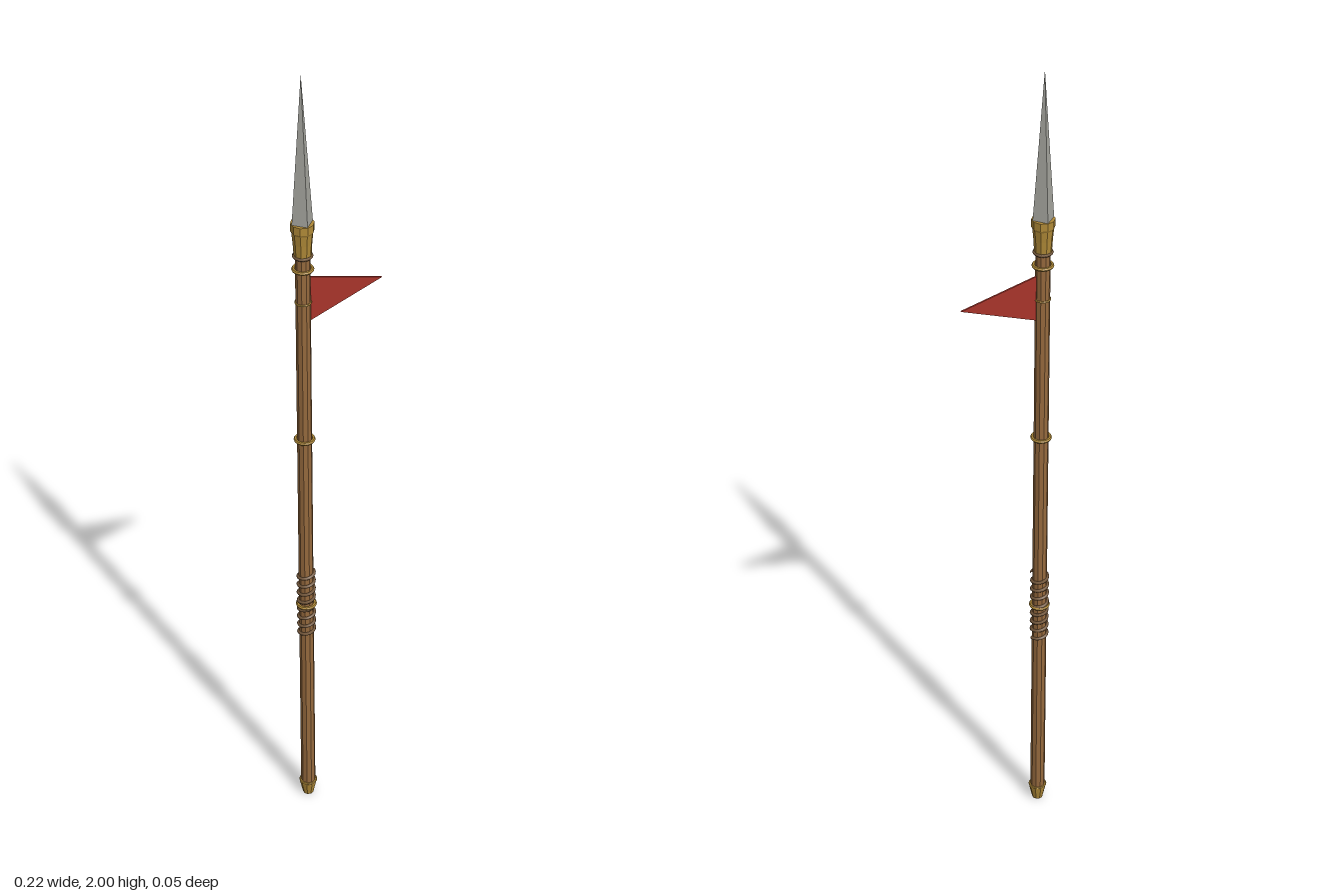
import * as THREE from 'three';

export function createModel() {
  const spear = new THREE.Group();
  spear.name = 'spear';
  const mat = (name, color, flatShading = false) => {
    const m = new THREE.MeshStandardMaterial({ color, flatShading });
    m.name = name;
    return m;
  };
  const wood = mat('wood', 0x966a3e, true);
  const brass = mat('brass', 0xb08a38, true);
  const steel = mat('steel', 0xa5a59e, true);
  const leather = mat('leather', 0x74583c);
  const cloth = mat('red cloth', 0xa8342a);

  // Everything except the pennant sits on the pole axis
  const pole = new THREE.Group();
  pole.name = 'pole';
  pole.position.x = -0.082;
  spear.add(pole);

  const add = (name, geometry, material, y = 0, parent = pole) => {
    const mesh = new THREE.Mesh(geometry, material);
    mesh.name = name;
    mesh.position.y = y;
    parent.add(mesh);
    return mesh;
  };
  const turned = (name, points, sides, material) =>
    add(name, new THREE.LatheGeometry(points.map(p => new THREE.Vector2(...p)), sides), material);
  const ring = (name, y, radius, tube, material) =>
    add(name, new THREE.TorusGeometry(radius, tube, 6, 16).rotateX(Math.PI / 2), material, y);

  // Shaft
  add('shaft', new THREE.CylinderGeometry(0.0165, 0.018, 1.57, 10), wood, 0.815);

  // Butt cap, narrowing to the ground
  turned('buttCap', [[0, 0], [0.0135, 0], [0.021, 0.036], [0.021, 0.044], [0, 0.044]], 10, brass);
  ring('buttRing', 0.042, 0.0195, 0.003, brass);

  // Socket below the blade
  turned('socket', [[0, 1.575], [0.019, 1.575], [0.021, 1.61], [0.0235, 1.635],
    [0.026, 1.64], [0.026, 1.658], [0, 1.658]], 10, brass);

  // Four-sided blade with its edges on the axes
  add('blade', new THREE.ConeGeometry(0.025, 0.345, 4), steel, 1.8275);

  // Bands along the shaft
  ring('neckBinding', 1.578, 0.0195, 0.0035, leather);
  ring('neckBand', 1.545, 0.0205, 0.0042, brass);
  ring('pennantBand', 1.462, 0.0165, 0.0025, brass);
  ring('middleBand', 1.1, 0.0205, 0.0042, brass);
  ring('gripBand', 0.62, 0.0205, 0.0045, brass);

  // Cord wound round the grip
  const turns = 8, points = [];
  for (let i = 0; i <= turns * 12; i++) {
    const a = (i / 12) * Math.PI * 2;
    points.push(new THREE.Vector3(Math.cos(a) * 0.019, 0.523 + (i / (turns * 12)) * 0.194, -Math.sin(a) * 0.019));
  }
  add('gripCord', new THREE.TubeGeometry(new THREE.CatmullRomCurve3(points), turns * 16, 0.004, 6), leather);

  // Thin triangular pennant
  const outline = new THREE.Shape([[-0.07, 1.41], [0.108, 1.472], [-0.07, 1.522]].map(p => new THREE.Vector2(...p)));
  const flag = new THREE.ExtrudeGeometry(outline, { depth: 0.004, bevelEnabled: false });
  add('pennant', flag.translate(0, 0, -0.002), cloth, 0, spear);

  return spear;
}
